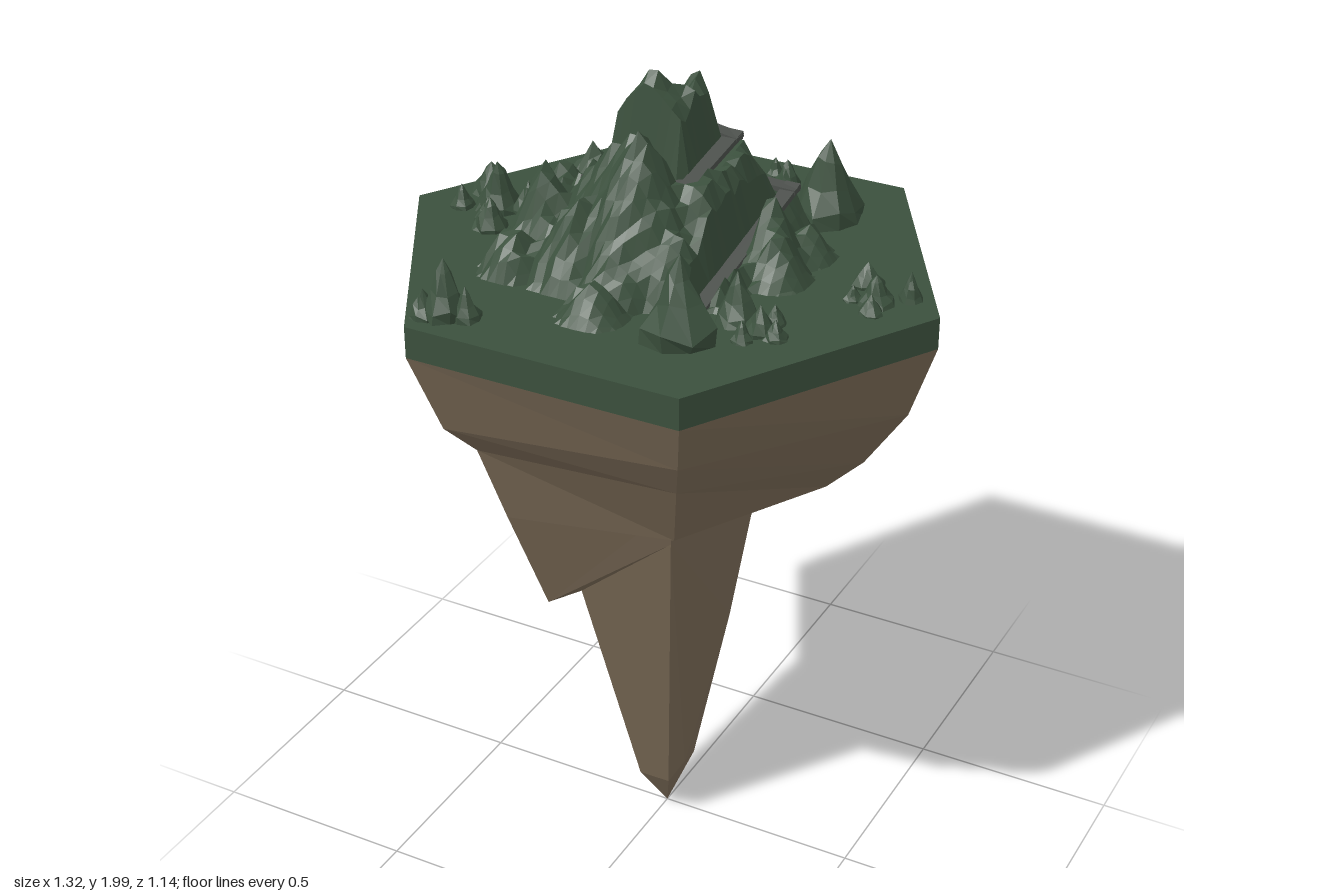
import * as THREE from 'three';

const TOP = 1.555;
const material = (color, side = THREE.FrontSide) =>
  new THREE.MeshStandardMaterial({ color, flatShading: true, side });
const GRASS = material(0x3b503d);
const EARTH = material(0x7a6a56, THREE.DoubleSide);
const PATH = material(0x4c504c);

// repeatable value in -1..1 for a pair of numbers
const jitter = (a, b) => {
  const s = Math.sin(a * 127.1 + b * 311.7) * 43758.5453;
  return (s - Math.floor(s)) * 2 - 1;
};

function named(name, geometry, mat) {
  const mesh = new THREE.Mesh(geometry, mat);
  mesh.name = name;
  return mesh;
}

// Hanging rock: one [radius, height] profile below each corner of the hexagon
const SPOKES = [
  [[.66, 1.48], [.60, 1.30], [.50, 1.15], [.41, 1.06], [.24, 1.03], [.17, .63], [.05, .14]],
  [[.66, 1.48], [.60, 1.35], [.53, 1.25], [.42, 1.06], [.24, 1.03], [.22, .92], [.08, .12]],
  [[.66, 1.48], [.58, 1.28], [.50, 1.20], [.43, 1.00], [.33, .73], [.24, .73], [.08, .12]],
  [[.66, 1.48], [.59, 1.40], [.33, 1.16], [.29, 1.00], [.25, .82], [.19, .58], [.08, .12]],
  [[.66, 1.48], [.62, 1.42], [.37, 1.14], [.32, .97], [.28, .83], [.22, .65], [.08, .12]],
  [[.66, 1.48], [.54, 1.00], [.49, .86], [.41, .90], [.32, .88], [.24, .78], [.08, .12]],
];

function hangingRock() {
  const levels = SPOKES[0].length;
  const positions = [], index = [];
  for (let k = 0; k < levels; k++) {
    SPOKES.forEach((profile, i) => {
      const [r, y] = profile[k], a = (i * Math.PI) / 3;
      positions.push(r * Math.cos(a), y, r * Math.sin(a));
    });
  }
  positions.push(0, 0, 0);
  const tip = levels * 6;
  for (let k = 0; k < levels; k++) {
    for (let i = 0; i < 6; i++) {
      const a = k * 6 + i, b = k * 6 + ((i + 1) % 6);
      if (k === levels - 1) index.push(a, b, tip);
      else index.push(a, b, a + 6, b, b + 6, a + 6);
    }
  }
  const g = new THREE.BufferGeometry();
  g.setAttribute('position', new THREE.Float32BufferAttribute(positions, 3));
  g.setIndex(index);
  g.computeVertexNormals();
  return g;
}

// Square spiral path climbing the mountain
const SPIRAL = [
  [.19, 1.565, .2], [.19, 1.66, -.235], [-.16, 1.68, -.22], [-.16, 1.73, .055],
  [.08, 1.76, .055], [.085, 1.80, -.15], [-.04, 1.82, -.15],
].map((p) => new THREE.Vector3(...p));
const PATH_HALF = 0.018;

// Mountain peaks and foothills: x, z, height, foot radius
const PEAKS = [
  [-.03, .00, .45, .26], [-.06, .00, .42, .21], [.02, -.10, .42, .20], [.03, -.05, .40, .22],
  [.00, .12, .36, .18],
  [-.29, -.32, .07, .09], [-.29, -.18, .14, .10], [-.28, -.03, .17, .10], [-.24, .12, .23, .11],
  [-.26, .23, .12, .08], [-.12, .19, .20, .12], [.00, .22, .18, .11], [.00, .34, .09, .08],
  [.11, .17, .17, .10], [.00, -.33, .06, .09], [.28, -.13, .09, .07], [.27, .00, .13, .08],
  [.23, -.04, .19, .09],
];

function terrainHeight(x, z) {
  // stepped foot under the path, then the peaks on top of it
  const broad = Math.max(Math.abs(x - .015), Math.abs(z + .03));
  let h = THREE.MathUtils.clamp((.235 - broad) * 1.9, 0, .23);
  for (const [px, pz, ph, pr] of PEAKS) {
    const d = Math.hypot(x - px, z - pz) / pr;
    if (d < 1) h = Math.max(h, ph * Math.pow(1 - d, .9));
  }
  // shelf cut along the path
  const p = new THREE.Vector3(x, 0, z), near = new THREE.Vector3();
  let best = .03, shelf = null;
  for (let i = 0; i + 1 < SPIRAL.length; i++) {
    const a = SPIRAL[i], b = SPIRAL[i + 1];
    const line = new THREE.Line3(a.clone().setY(0), b.clone().setY(0));
    const t = line.closestPointToPointParameter(p, true);
    const d = line.at(t, near).distanceTo(p);
    if (d < best) {
      best = d;
      shelf = THREE.MathUtils.lerp(a.y, b.y, t) - TOP - .006;
    }
  }
  if (shelf !== null) return shelf;
  return h > .03 ? Math.min(.445, h + .014 * jitter(x * 3, z * 3)) : h;
}

function mountain() {
  const g = new THREE.PlaneGeometry(.8, .84, 36, 38).rotateX(-Math.PI / 2);
  const pos = g.attributes.position;
  for (let i = 0; i < pos.count; i++) {
    const h = terrainHeight(pos.getX(i), pos.getZ(i));
    pos.setY(i, h > .004 ? TOP + h : TOP - .01);
  }
  g.computeVertexNormals();
  return g;
}

function pathSegment(a, b) {
  const length = a.distanceTo(b) + PATH_HALF * 2;
  const mesh = named('pathSegment', new THREE.BoxGeometry(PATH_HALF * 2, .014, length), PATH);
  mesh.position.lerpVectors(a, b, .5);
  mesh.lookAt(b);
  return mesh;
}

// Jagged pointed rock
function spire(x, z, r, h) {
  const profile = [[1, 0], [.92, .18], [.6, .45], [.3, .75], [0, 1]];
  const g = new THREE.LatheGeometry(
    profile.map(([a, b]) => new THREE.Vector2(a * r, b * h)), 8);
  const pos = g.attributes.position;
  for (let i = 0; i < pos.count; i++) {
    const side = Math.floor(i / profile.length) % 8, level = i % profile.length;
    if (level === profile.length - 1) continue;
    const k = 1 + .16 * jitter(side + x * 10, level + z * 10);
    pos.setX(i, pos.getX(i) * k);
    pos.setZ(i, pos.getZ(i) * k);
    if (level) pos.setY(i, pos.getY(i) + h * .07 * jitter(side + z, level + x));
  }
  g.computeVertexNormals();
  const mesh = named('spire', g, GRASS);
  mesh.position.set(x, TOP - .003, z);
  return mesh;
}

// x, z, radius, height
const SPIRES = [
  [.24, -.34, .085, .2], [.21, .34, .085, .2], [.28, .21, .05, .12],
  [.35, .24, .035, .07], [.33, .29, .026, .05], [.39, .25, .028, .05], [.36, .19, .025, .05],
  [.51, 0, .04, .07], [.46, -.07, .038, .06], [.57, -.05, .028, .07], [.52, .05, .028, .05],
  [.46, .01, .022, .04],
  [-.46, -.03, .055, .12], [-.52, -.1, .045, .08], [-.39, -.05, .04, .08], [-.42, .07, .042, .08],
  [-.54, 0, .03, .06], [-.45, .03, .035, .06],
  [-.15, -.43, .035, .07], [-.19, -.485, .025, .05], [-.09, -.45, .028, .05], [-.12, -.37, .022, .04],
  [.08, -.455, .035, .07], [.03, -.495, .022, .05], [.14, -.475, .028, .05], [.11, -.39, .022, .04],
  [-.28, .485, .05, .14], [-.235, .475, .035, .08], [-.32, .51, .035, .07],
];

export function createModel() {
  const group = new THREE.Group();
  group.name = 'floatingIsland';

  group.add(named('hangingRock', hangingRock(), EARTH));

  const slab = named('grassSlab',
    new THREE.CylinderGeometry(.66, .66, TOP - 1.48, 6).rotateY(Math.PI / 6), GRASS);
  slab.position.y = (TOP + 1.48) / 2;
  group.add(slab);

  group.add(named('mountain', mountain(), GRASS));

  const path = new THREE.Group();
  path.name = 'spiralPath';
  for (let i = 0; i + 1 < SPIRAL.length; i++) path.add(pathSegment(SPIRAL[i], SPIRAL[i + 1]));
  group.add(path);

  const spires = new THREE.Group();
  spires.name = 'spires';
  SPIRES.forEach((s) => spires.add(spire(...s)));
  group.add(spires);
  return group;
}
